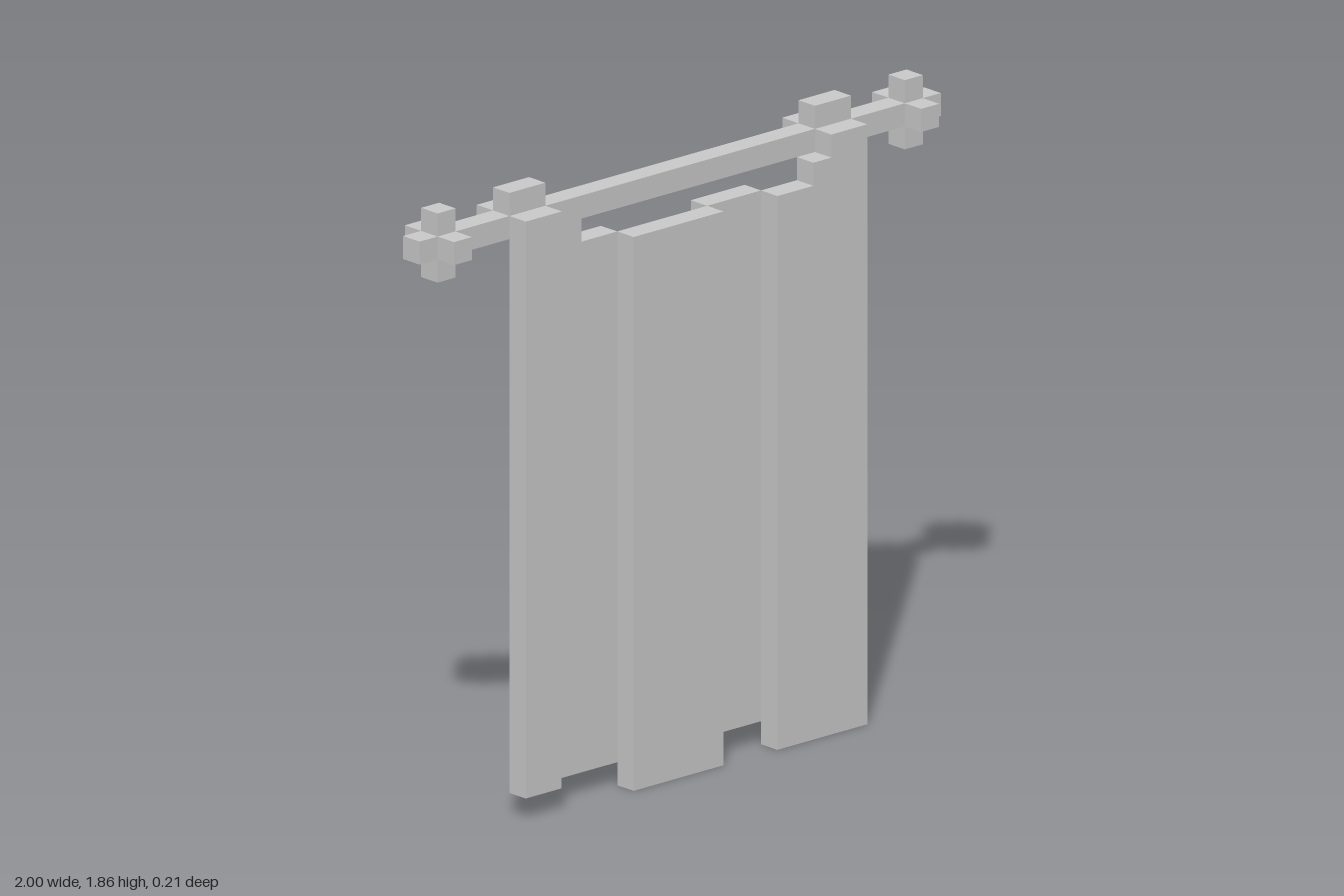
import * as THREE from 'three';

const U = 2 / 29; // one block of the grid
const material = new THREE.MeshStandardMaterial({ color: 0xcccccc, flatShading: true });

// Box given by its min and max corners, in blocks
function box(parent, name, [x0, y0, z0], [x1, y1, z1]) {
  const mesh = new THREE.Mesh(
    new THREE.BoxGeometry((x1 - x0) * U, (y1 - y0) * U, (z1 - z0) * U), material);
  mesh.position.set((x0 + x1) / 2 * U, (y0 + y1) / 2 * U, (z0 + z1) / 2 * U);
  mesh.name = name;
  parent.add(mesh);
}

// One-block-thick cloth strip cut to an outline, with its back at z0
function strip(parent, name, z0, outline) {
  const shape = new THREE.Shape(outline.map(([x, y]) => new THREE.Vector2(x * U, y * U)));
  const mesh = new THREE.Mesh(
    new THREE.ExtrudeGeometry(shape, { depth: U, bevelEnabled: false }), material);
  mesh.position.z = z0 * U;
  mesh.name = name;
  parent.add(mesh);
}

export function createModel() {
  const model = new THREE.Group();
  model.name = 'hangingCurtain';

  box(model, 'rod', [-14.5, 25, -0.5], [14.5, 26, 0.5]);

  for (const [side, s] of [['left', 1], ['right', -1]]) {
    // Cross-shaped finial near the end of the rod
    const finial = new THREE.Group();
    finial.name = side + 'Finial';
    const a = s * 13 - 0.5, b = s * 13 + 0.5;
    box(finial, 'upperKnob', [a, 26, -0.5], [b, 27, 0.5]);
    box(finial, 'lowerKnob', [a, 24, -0.5], [b, 25, 0.5]);
    box(finial, 'frontKnob', [a, 25, 0.5], [b, 26, 1.5]);
    box(finial, 'backKnob', [a, 25, -1.5], [b, 26, -0.5]);
    model.add(finial);

    // Cloth loop folded over the rod
    const loop = new THREE.Group();
    loop.name = side + 'Loop';
    const c = s * 8.5 - 1, d = s * 8.5 + 1;
    box(loop, 'loopTop', [c, 26, -0.5], [d, 27, 0.5]);
    box(loop, 'loopBack', [c, 25, -1.5], [d, 26, -0.5]);
    model.add(loop);
  }

  // Front folds
  strip(model, 'rightFrontFold', 0.5, [[-9.5, 1], [-7.5, 1], [-7.5, 26], [-9.5, 26]]);
  strip(model, 'middleFrontFold', 0.5, [[-3.5, 0], [1.5, 0], [1.5, 24], [-3.5, 24]]);
  strip(model, 'leftFrontFold', 0.5,
    [[4.5, 0], [9.5, 0], [9.5, 26], [7.5, 26], [7.5, 25], [6.5, 25], [6.5, 24], [4.5, 24]]);

  // Rear folds, one block further back
  strip(model, 'rightRearFold', -0.5,
    [[-7.5, 1], [-3.5, 1], [-3.5, 24], [-5.5, 24], [-5.5, 25], [-7.5, 25]]);
  strip(model, 'leftRearFold', -0.5, [[1.5, 1], [4.5, 1], [4.5, 24], [1.5, 24]]);

  return model;
}
